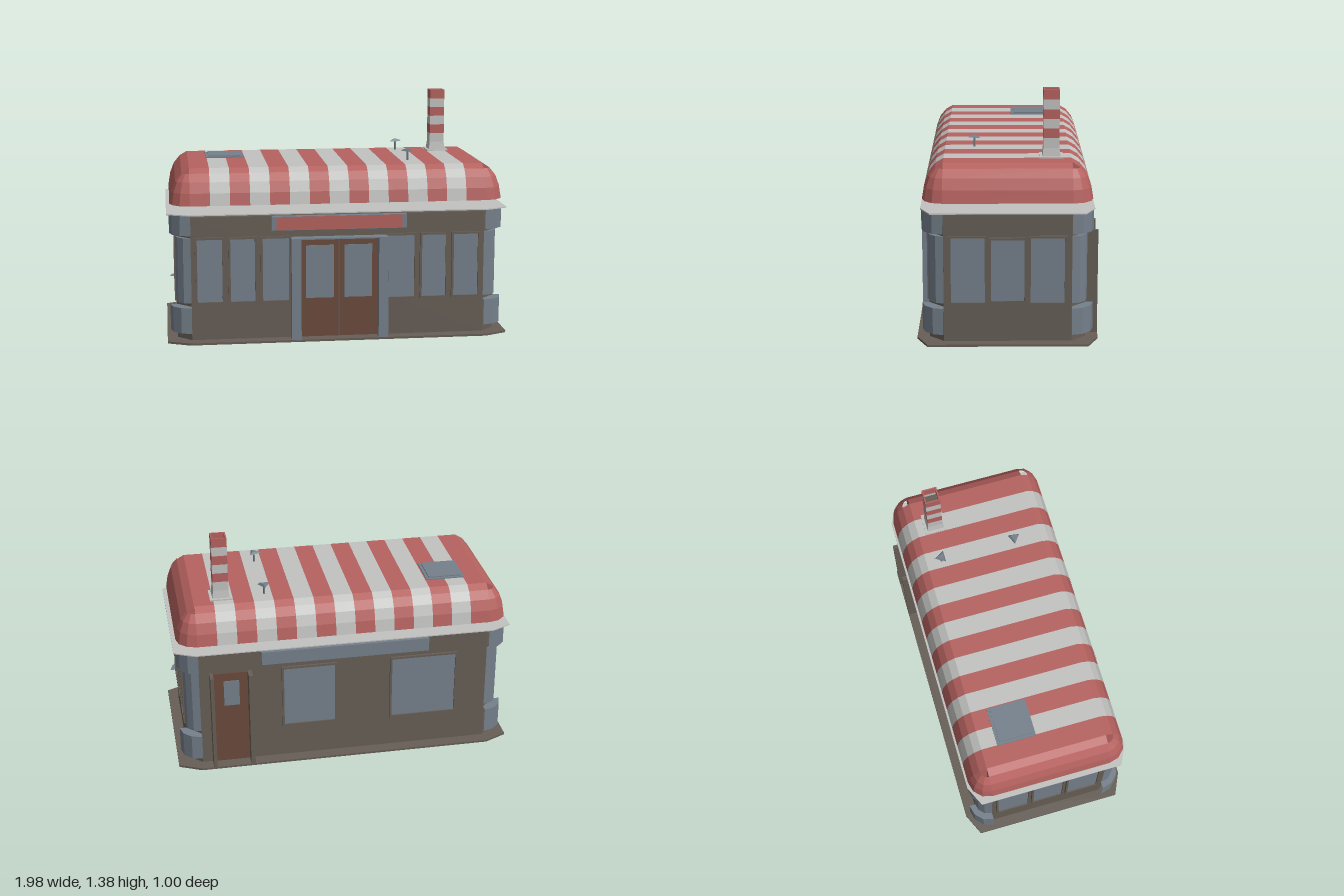
import * as THREE from 'three';

const mat = (name, color) => Object.assign(new THREE.MeshStandardMaterial({ color }), { name });

export function createModel() {
  const root = new THREE.Group();
  root.name = 'diner';
  const wall = mat('wallBrown', 0x665e56);
  const steel = mat('steelBlue', 0x75808b);
  const red = mat('awningRed', 0xb5625f);
  const pale = mat('paleGrey', 0xc2c2c0);
  const wood = mat('doorBrown', 0x6a4a3c);

  const HX = 0.85, HZ = 0.35; // centres of the rounded corners
  const QUADS = [[1, 1], [1, -1], [-1, -1], [-1, 1]];

  const add = (parent, name, geo, m, x = 0, y = 0, z = 0, ry = 0) => {
    const mesh = new THREE.Mesh(geo, m);
    mesh.name = name;
    mesh.position.set(x, y, z);
    mesh.rotation.y = ry;
    parent.add(mesh);
    return mesh;
  };
  // Box given by its x, y and z ranges
  const box = (parent, name, m, [x0, x1], [y0, y1], [z0, z1]) =>
    add(parent, name, new THREE.BoxGeometry(x1 - x0, y1 - y0, z1 - z0), m,
      (x0 + x1) / 2, (y0 + y1) / 2, (z0 + z1) / 2);
  const flat = (geo) => {
    const g = geo.toNonIndexed();
    g.computeVertexNormals();
    return g;
  };
  const extrude = (pts, depth) => new THREE.ExtrudeGeometry(
    new THREE.Shape(pts.map(([x, y]) => new THREE.Vector2(x, y))), { depth, bevelEnabled: false });
  // Horizontal eight-sided slab with chamfered corners
  const slab = (name, m, cx, cz, ex, ez, y, h) => {
    const pts = [[cx, ez], [ex, cz], [ex, -cz], [cx, -ez], [-cx, -ez], [-ex, -cz], [-ex, cz], [-cx, ez]].reverse();
    const geo = extrude(pts, h);
    geo.rotateX(-Math.PI / 2);
    add(root, name, geo, m, 0, y, 0);
  };

  // Base, walls and ledge below the roof
  slab('base', wall, 0.86, 0.44, 0.99, 0.5, 0, 0.012);
  slab('walls', wall, HX, HZ, 0.93, 0.43, 0.012, 0.718);
  slab('ledge', pale, 0.87, 0.42, 0.985, 0.475, 0.745, 0.006);

  // Faceted metal corner columns with wider collars at foot and head
  QUADS.forEach(([sx, sz], i) => {
    const corner = new THREE.Group();
    corner.name = 'cornerColumn';
    corner.position.set(sx * HX, 0, sz * HZ);
    corner.rotation.y = i * Math.PI / 2;
    [['foot', 0.12, 0.06, 0.21], ['shaft', 0.086, 0.23, 0.61], ['head', 0.12, 0.63, 0.75]]
      .forEach(([name, r, y0, y1]) => add(corner, name,
        flat(new THREE.CylinderGeometry(r, r, y1 - y0, 3, 1, false, 0, Math.PI / 2)), steel, 0, (y0 + y1) / 2, 0));
    root.add(corner);
  });

  // Each wall face is a group whose local z = 0 lies on the wall surface
  const face = (name, x, z, ry) => {
    const g = new THREE.Group();
    g.name = name;
    g.position.set(x, 0, z);
    g.rotation.y = ry;
    root.add(g);
    return g;
  };
  const windowAt = (parent, x0, x1, y0 = 0.235, y1 = 0.6) => {
    const w = new THREE.Group(), t = 0.012, d = [0, 0.013];
    w.name = 'window';
    box(w, 'pane', steel, [x0, x1], [y0, y1], [0, 0.005]);
    box(w, 'frameLeft', wall, [x0 - t, x0], [y0 - t, y1 + t], d);
    box(w, 'frameRight', wall, [x1, x1 + t], [y0 - t, y1 + t], d);
    box(w, 'frameTop', wall, [x0, x1], [y1, y1 + t], d);
    box(w, 'frameBottom', wall, [x0, x1], [y0 - t, y0], d);
    parent.add(w);
  };

  const front = face('frontFace', 0, 0.43, 0);
  const back = face('backFace', 0, -0.43, Math.PI);
  const sides = [face('leftFace', 0.93, 0, Math.PI / 2), face('rightFace', -0.93, 0, -Math.PI / 2)];

  // Side windows
  for (const s of sides) {
    windowAt(s, -0.31, -0.125);
    windowAt(s, -0.09, 0.09, 0.245, 0.59);
    windowAt(s, 0.125, 0.31);
  }

  // Front windows
  for (const [a, b] of [[0.29, 0.44], [0.485, 0.625], [0.672, 0.815]]) {
    windowAt(front, a, b);
    windowAt(front, -b, -a);
  }

  // Double front door with posts and a thin canopy
  for (const s of [-1, 1]) {
    const span = (a, b) => (s > 0 ? [a, b] : [-b, -a]);
    box(front, 'doorLeaf', wood, span(0.003, 0.224), [0.015, 0.6], [0, 0.01]);
    box(front, 'doorPane', steel, span(0.03, 0.192), [0.245, 0.555], [0.01, 0.014]);
    box(front, 'doorPost', steel, span(0.224, 0.28), [0.005, 0.605], [-0.01, 0.07]);
  }
  box(front, 'doorCanopy', steel, [-0.224, 0.224], [0.597, 0.605], [0, 0.06]);

  // Sign boards
  box(front, 'signBoard', steel, [-0.39, 0.39], [0.65, 0.73], [0, 0.035]);
  box(front, 'signPanel', red, [-0.362, 0.362], [0.652, 0.728], [0.035, 0.039]);
  box(back, 'backBoard', steel, [-0.49, 0.49], [0.65, 0.73], [0, 0.038]);

  // Back door and windows (local x runs towards the model's right)
  box(back, 'backDoor', wood, [-0.77, -0.57], [0.015, 0.6], [0, 0.008]);
  box(back, 'backDoorPane', steel, [-0.71, -0.62], [0.39, 0.55], [0.008, 0.013]);
  box(back, 'backDoorPost', wall, [-0.79, -0.77], [0.005, 0.605], [0, 0.07]);
  box(back, 'backDoorPost', wall, [-0.57, -0.545], [0.005, 0.605], [0, 0.07]);
  windowAt(back, -0.36, -0.06, 0.225, 0.595);
  windowAt(back, 0.28, 0.66, 0.215, 0.595);

  // Roof: curved eaves profile as [outward offset, height]
  const eave = [[0.115, 0.8], [0.103, 0.87], [0.08, 0.93], [0.043, 0.975], [0, 1]];
  const roof = new THREE.Group();
  roof.name = 'roof';
  root.add(roof);
  const section = [
    ...eave.map(([d, y]) => [HZ + d, y]),
    ...eave.map(([d, y]) => [-HZ - d, y]).reverse(),
  ];
  const STRIPES = 15, sw = (2 * HX) / STRIPES;
  for (let i = 0; i < STRIPES; i++) {
    add(roof, 'roofStripe', extrude(section, sw), i % 2 ? pale : red, -HX + i * sw, 0, 0, Math.PI / 2);
  }
  for (const s of [1, -1]) {
    const end = extrude([[0, 0.8], ...eave], 2 * HZ);
    end.translate(HX, 0, -HZ);
    add(roof, 'roofEnd', end, red, 0, 0, 0, s > 0 ? 0 : Math.PI);
  }
  const rim = eave.slice(0, 4).map(([d, y]) => new THREE.Vector2(d, y));
  QUADS.forEach(([sx, sz], i) => add(roof, 'roofCorner',
    flat(new THREE.LatheGeometry(rim, 3, 0, Math.PI / 2)), red, sx * HX, 0, sz * HZ, i * Math.PI / 2));

  // Skylight
  box(roof, 'skylightFrame', steel, [-0.742, -0.517], [1, 1.006], [-0.257, -0.03]);
  box(roof, 'skylightPane', steel, [-0.725, -0.534], [1.006, 1.012], [-0.24, -0.047]);

  // Small roof vents
  for (const [z, ry] of [[-0.26, Math.PI], [0.185, 0.4]]) {
    add(roof, 'ventPipe', new THREE.CylinderGeometry(0.006, 0.006, 0.06, 6), steel, 0.44, 1.03, z);
    add(roof, 'ventCap', flat(new THREE.CylinderGeometry(0.025, 0.04, 0.012, 3)), steel, 0.44, 1.06, z, ry);
  }

  // Hollow striped chimney on a tapering plinth
  const chimney = new THREE.Group();
  chimney.name = 'chimney';
  chimney.position.set(0.69, 0, -0.24);
  root.add(chimney);
  const R = 0.044, IN = 0.036, sh = 0.32 / 6;
  box(chimney, 'plinth', pale, [-0.065, 0.065], [1, 1.008], [-0.065, 0.065]);
  add(chimney, 'neck', flat(new THREE.CylinderGeometry(R * Math.SQRT2, 0.07, 0.047, 4)), pale, 0, 1.0315, 0, Math.PI / 4);
  const square = (C, r) => new C([[-r, -r], [r, -r], [r, r], [-r, r]].map(([x, y]) => new THREE.Vector2(x, y)));
  for (let i = 0; i < 6; i++) {
    const shape = square(THREE.Shape, R);
    shape.holes.push(square(THREE.Path, IN));
    const ring = new THREE.ExtrudeGeometry(shape, { depth: sh, bevelEnabled: false });
    ring.rotateX(-Math.PI / 2);
    add(chimney, 'chimneyBand', ring, i % 2 ? red : pale, 0, 1.055 + i * sh, 0);
  }
  box(chimney, 'flue', wall, [-IN, IN], [1.055, 1.3], [-IN, IN]);

  return root;
}
